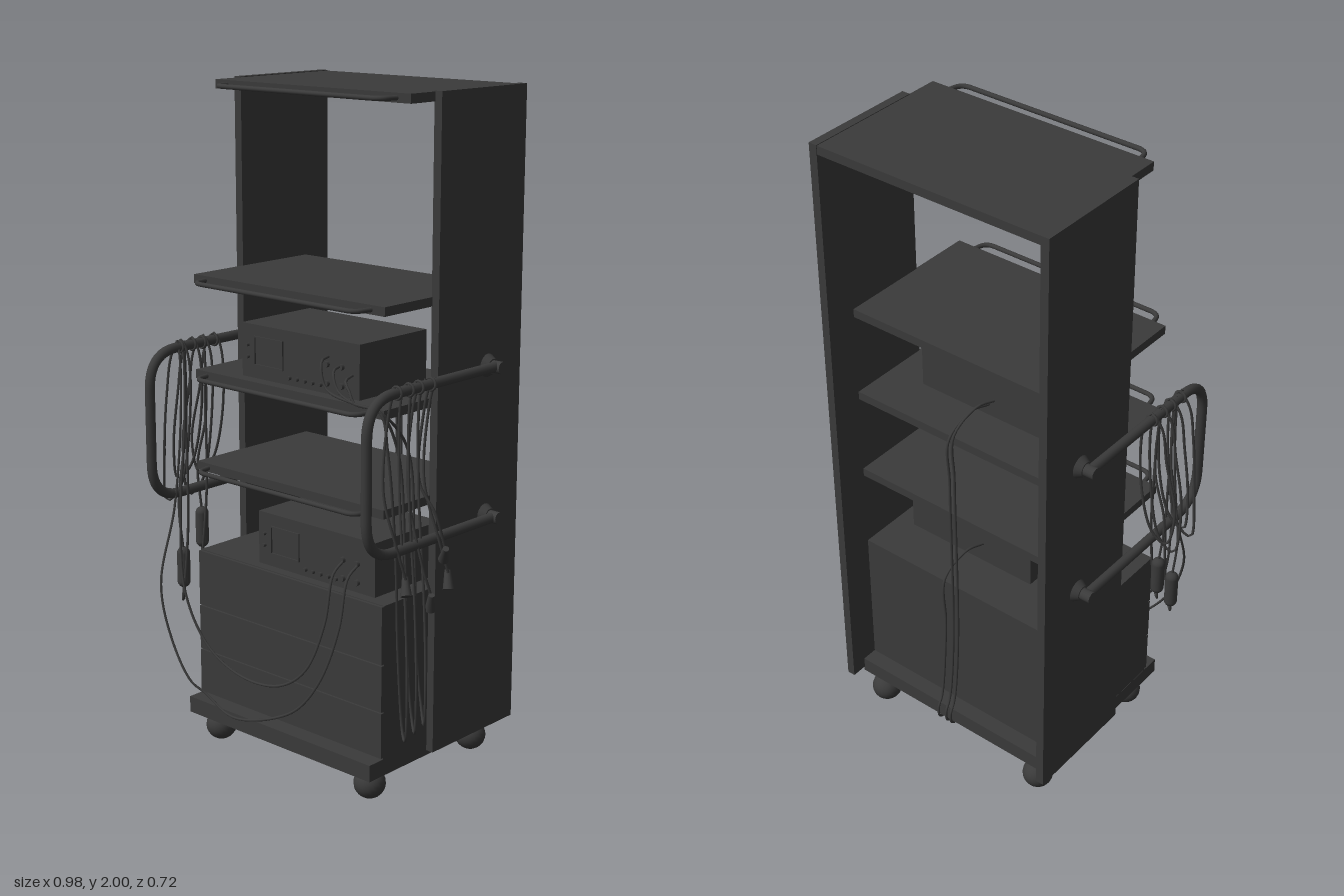
import * as THREE from 'three';
import { RoundedBoxGeometry } from 'three/addons/geometries/RoundedBoxGeometry.js';

const dark = new THREE.MeshStandardMaterial({ color: 0x3a3a3a });
const CX = 0.01; // centre line of the rack

export function createModel() {
  const root = new THREE.Group();

  const add = (name, geo, parent = root) => {
    const m = new THREE.Mesh(geo, dark);
    m.name = name;
    parent.add(m);
    return m;
  };
  // box given by its extents on each axis
  const box = (name, x0, x1, y0, y1, z0, z1, parent) => {
    const m = add(name, new THREE.BoxGeometry(x1 - x0, y1 - y0, z1 - z0), parent);
    m.position.set((x0 + x1) / 2, (y0 + y1) / 2, (z0 + z1) / 2);
    return m;
  };
  const vecs = pts => pts.map(p => new THREE.Vector3(...p));
  const cable = (name, pts, closed = false) =>
    add(name, new THREE.TubeGeometry(new THREE.CatmullRomCurve3(vecs(pts), closed, 'centripetal'),
      pts.length * 8, 0.004, 6, closed));
  // straight runs joined by rounded corners
  const bentTube = (name, pts, r, bend, parent) => {
    const p = vecs(pts), path = new THREE.CurvePath();
    let from = p[0];
    for (let i = 1; i < p.length - 1; i++) {
      const a = p[i].clone().add(p[i - 1].clone().sub(p[i]).setLength(bend));
      const b = p[i].clone().add(p[i + 1].clone().sub(p[i]).setLength(bend));
      path.add(new THREE.LineCurve3(from, a));
      path.add(new THREE.QuadraticBezierCurve3(a, p[i], b));
      from = b;
    }
    path.add(new THREE.LineCurve3(from, p[p.length - 1]));
    return add(name, new THREE.TubeGeometry(path, 90, r, 12), parent);
  };

  // side panels
  box('sidePanelRight', -0.38, -0.354, 0.11, 2, -0.36, 0.01);
  box('sidePanelLeft', 0.376, 0.402, 0.11, 2, -0.36, 0.01);

  // shelves, each with a bent pull bar at the front
  const shelves = [[1.972, 1.998, -0.358, 0.11], [1.42, 1.446, -0.26, 0.208],
    [1.137, 1.163, -0.26, 0.208], [0.857, 0.883, -0.26, 0.208]];
  for (const [y0, y1, z0, z1] of shelves) {
    const g = new THREE.Group();
    g.name = 'shelf';
    root.add(g);
    box('shelfBoard', -0.356, 0.379, y0, y1, z0, z1, g);
    const y = (y0 + y1) / 2;
    bentTube('pullBar', [[CX - 0.32, y, z1 - 0.005], [CX - 0.31, y, z1 + 0.053],
      [CX + 0.31, y, z1 + 0.053], [CX + 0.32, y, z1 - 0.005]], 0.007, 0.03, g);
  }

  // cabinet with drawers on a base plate
  box('cabinet', -0.355, 0.378, 0.14, 0.605, -0.26, 0.2);
  const seams = [0.148, 0.288, 0.43, 0.605];
  for (let i = 0; i < 3; i++)
    box('drawerFront', -0.355, 0.378, seams[i] + 0.002, seams[i + 1] - 0.002, 0.2, 0.21);
  box('basePlate', -0.356, 0.378, 0.095, 0.145, -0.31, 0.258);
  const pan = add('bottomPan', new RoundedBoxGeometry(0.39, 0.05, 0.22, 3, 0.022));
  pan.position.set(CX, 0.09, -0.12);

  // ball casters
  for (const x of [-0.3, 0.31]) for (const z of [0.18, -0.28]) {
    const c = new THREE.Group();
    c.name = 'caster';
    c.position.set(x, 0, z);
    root.add(c);
    const ball = add('casterWheel', new THREE.SphereGeometry(0.047, 20, 14), c);
    ball.position.y = 0.046;
    ball.scale.y = 0.97;
    const stem = add('casterStem', new THREE.CylinderGeometry(0.018, 0.018, 0.03, 12), c);
    stem.position.y = 0.09;
  }

  // side handles with flanged mounts
  for (const [s, x, wall] of [[-1, -0.412, -0.38], [1, 0.434, 0.402]]) {
    const g = new THREE.Group();
    g.name = s < 0 ? 'handleRight' : 'handleLeft';
    root.add(g);
    bentTube('handleTube', [[x, 1.224, -0.21], [x, 1.224, 0.34], [x, 0.78, 0.34], [x, 0.78, -0.21]],
      0.015, 0.11, g);
    for (const y of [1.222, 0.78]) {
      const flange = add('handleFlange', new THREE.CylinderGeometry(0.022, 0.034, 0.02, 20), g);
      flange.rotation.z = -s * Math.PI / 2;
      flange.position.set(wall + s * 0.01, y, -0.21);
      const post = add('handlePost', new THREE.CylinderGeometry(0.018, 0.018, 0.052, 16), g);
      post.rotation.z = Math.PI / 2;
      post.position.set(wall + s * 0.027, y, -0.21);
    }
    // cable rings slipped over the upper bar
    for (const z of [0.08, 0.13, 0.17, 0.22]) {
      const ring = add('cableRing', new THREE.TorusGeometry(0.017, 0.004, 8, 18), g);
      ring.position.set(x, 1.224, z);
    }
  }

  // two instruments with screen, knobs and sockets
  const instrument = (name, x0, y0, h) => {
    const g = new THREE.Group();
    g.name = name;
    g.position.set(x0, y0, 0);
    root.add(g);
    box('housing', 0, 0.455, 0, h, -0.115, 0.168, g);
    const bezel = [[0.05, 0.165, 0.038, 0.042], [0.05, 0.165, 0.12, 0.124],
      [0.05, 0.054, 0.038, 0.124], [0.161, 0.165, 0.038, 0.124]];
    for (const [a, b, c, d] of bezel) box('screenFrame', a, b, c, d, 0.167, 0.173, g);
    const knob = (n, x, y, r) => {
      const k = add(n, new THREE.CylinderGeometry(r, r, 0.012, 12), g);
      k.rotation.x = Math.PI / 2;
      k.position.set(x, y, 0.172);
    };
    for (let i = 0; i < 5; i++) knob('knob', 0.19 + i * 0.03, 0.022, 0.006);
    for (const y of [0.06, 0.095]) knob('button', 0.025, y, 0.005);
    for (const x of [0.335, 0.39]) for (const y of [0.03, 0.085]) knob('socket', x, y, 0.009);
  };
  instrument('upperInstrument', -0.2, 1.163, 0.157);
  instrument('lowerInstrument', -0.14, 0.605, 0.16);

  // long cables sweeping across the drawers to the right handle
  cable('frontCable', [[0.2, 0.69, 0.17], [0.2, 0.66, 0.215], [0.195, 0.52, 0.245], [0.14, 0.37, 0.265],
    [0.04, 0.295, 0.272], [-0.12, 0.28, 0.27], [-0.26, 0.34, 0.27], [-0.355, 0.48, 0.268],
    [-0.39, 0.72, 0.25], [-0.385, 1.0, 0.23], [-0.395, 1.2, 0.22], [-0.412, 1.245, 0.215]]);
  cable('frontCable', [[0.255, 0.69, 0.17], [0.255, 0.66, 0.215], [0.25, 0.52, 0.245], [0.2, 0.36, 0.265],
    [0.12, 0.25, 0.275], [0.04, 0.2, 0.285], [-0.04, 0.18, 0.322], [-0.12, 0.175, 0.325],
    [-0.22, 0.215, 0.322], [-0.26, 0.245, 0.34], [-0.34, 0.36, 0.342], [-0.39, 0.52, 0.335],
    [-0.4, 0.74, 0.265], [-0.392, 1.0, 0.24], [-0.395, 1.2, 0.235], [-0.412, 1.245, 0.23]]);

  // leads from the upper instrument, down past the left handle
  for (let i = 0; i < 3; i++) {
    const x = 0.14 + i * 0.045, z = 0.08 + i * 0.04;
    cable('upperLead', [[x, 1.27 - i * 0.02, 0.17], [x + 0.02, 1.265 - i * 0.02, 0.22],
      [x + 0.05, 1.2, 0.235], [0.3, 1.175, 0.24], [0.375, 1.16, 0.22], [0.395, 1.05, z + 0.05],
      [0.4, 0.75, z + 0.02], [0.395, 0.45, z], [0.415, 0.28 - i * 0.03, z],
      [0.45, 0.24 - i * 0.01, z + 0.03], [0.472, 0.36, z + 0.05], [0.455, 0.6, z + 0.04],
      [0.42, 0.95, z + 0.03], [0.415, 1.2, z + 0.02], [0.434, 1.243, z + 0.02]]);
  }

  // looped cables hanging from the right handle
  for (let i = 0; i < 4; i++) {
    const z = 0.08 + i * 0.045, low = 0.8 - (i % 2) * 0.06;
    cable('hangingLoop', [[-0.41, 1.245, z], [-0.44, 1.2, z + 0.01], [-0.455, 1.08, z + 0.02],
      [-0.49 + i * 0.008, 0.9, z + 0.025], [-0.475, low, z + 0.01], [-0.44, low + 0.04, z - 0.01],
      [-0.4, 1.0, z - 0.02], [-0.392, 1.2, z - 0.01]], true);
  }

  // handpieces hanging beside the right handle
  for (const [y, z] of [[0.64, 0.12], [0.53, 0.2]]) {
    const grip = add('handpiece', new THREE.CapsuleGeometry(0.02, 0.09, 6, 14));
    grip.position.set(-0.435, y, z);
    cable('handpieceLead', [[-0.435, y + 0.05, z], [-0.44, y + 0.2, z + 0.01], [-0.4, 1.0, z + 0.01], [-0.412, 1.24, z]]);
    cable('handpieceTail', [[-0.435, y - 0.05, z], [-0.43, y - 0.1, z + 0.01], [-0.405, y - 0.08, z + 0.03],
      [-0.39, y + 0.15, z + 0.02], [-0.392, 1.1, z + 0.02]]);
  }

  // plug ends hanging beside the left handle
  for (const [x, y, z, t] of [[0.468, 0.74, 0.05, 0.5], [0.465, 0.66, 0.03, -0.3], [0.462, 0.61, 0.1, 0.3], [0.455, 0.68, 0.2, -0.4]]) {
    const plug = add('plug', new THREE.CylinderGeometry(0.009, 0.016, 0.055, 12));
    plug.position.set(x, y, z);
    plug.rotation.set(t, 0, -t);
    cable('plugLead', [[x, y + 0.02, z], [x - 0.01, y + 0.12, z + 0.03], [0.415, 0.95, z + 0.05],
      [0.412, 1.15, z + 0.03], [0.434, 1.24, z + 0.03]]);
  }

  // power cables down the back and under the base
  for (const [x, y] of [[0.012, 1.22], [0.03, 1.2], [0.06, 0.67]])
    cable('powerCable', [[x - 0.02, y, -0.115], [x - 0.01, y + 0.01, -0.18], [x, y - 0.04, -0.268],
      [x, y - 0.2, -0.272], [x, 0.4, -0.275], [x, 0.17, -0.3], [x, 0.13, -0.318], [x, 0.088, -0.312],
      [x, 0.078, -0.27], [x, 0.08, -0.2]]);

  return root;
}
